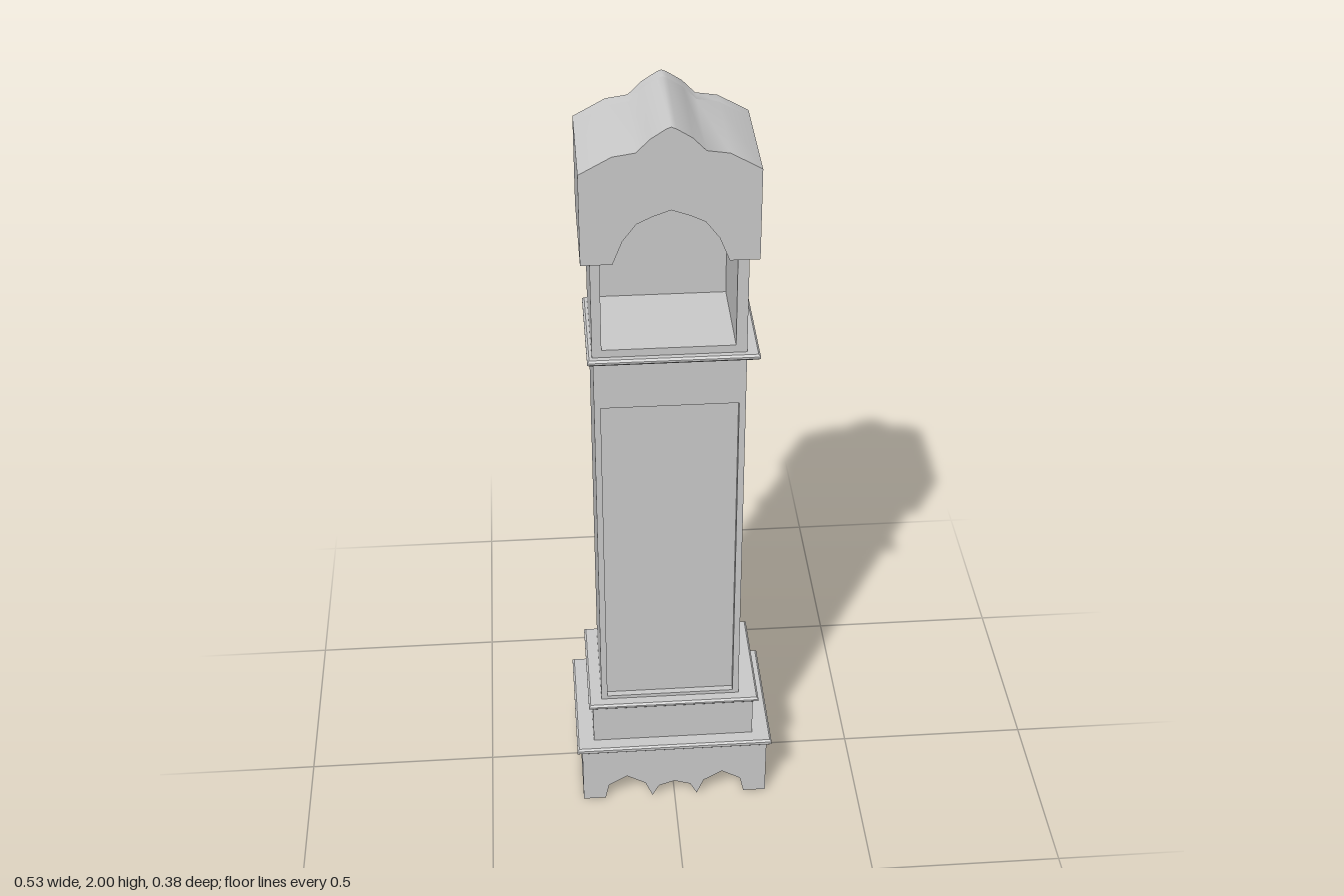
import * as THREE from 'three';
import { toCreasedNormals } from 'three/addons/utils/BufferGeometryUtils.js';

const material = new THREE.MeshStandardMaterial({ color: 0xcccccc });
const toShape = (points) => new THREE.Shape(points.map(([x, y]) => new THREE.Vector2(x, y)));
const rect = (x0, x1, y0, y1) => [[x0, y0], [x1, y0], [x1, y1], [x0, y1]];

export function createModel() {
  const clock = new THREE.Group();
  clock.name = 'longcaseClock';

  const add = (name, geometry) => {
    const mesh = new THREE.Mesh(geometry, material);
    mesh.name = name;
    clock.add(mesh);
  };

  // Front outline pushed from z0 to z1, with an optional hole
  const slab = (name, outline, z0, z1, hole) => {
    const shape = toShape(outline);
    if (hole) shape.holes.push(toShape(hole));
    const geometry = new THREE.ExtrudeGeometry(shape, { depth: z1 - z0, bevelEnabled: false });
    geometry.translate(0, 0, z0);
    add(name, toCreasedNormals(geometry, 0.9));
  };

  // Flat moulding with chamfered edges
  const ledge = (name, x0, x1, y0, y1, halfDepth) => {
    const b = 0.005;
    const shape = toShape(rect(x0 + b, x1 - b, -halfDepth + b, halfDepth - b));
    const geometry = new THREE.ExtrudeGeometry(shape, {
      depth: y1 - y0 - 2 * b, bevelSize: b, bevelThickness: b, bevelSegments: 1,
    });
    geometry.rotateX(-Math.PI / 2).translate(0, y0 + b, 0);
    add(name, toCreasedNormals(geometry, 0.5));
  };

  // Base with three scallops cut through between the feet
  const scallops = [
    [-0.19, 0], [-0.18, 0.047], [-0.13, 0.077], [-0.08, 0.047], [-0.061, 0],
    [-0.043, 0.035], [0, 0.05], [0.043, 0.035],
    [0.061, 0], [0.08, 0.047], [0.13, 0.077], [0.18, 0.047], [0.19, 0],
  ];
  slab('base', [[-0.25, 0], ...scallops, [0.25, 0], [0.25, 0.175], [-0.25, 0.175]], -0.182, 0.182);
  ledge('baseLedge', -0.263, 0.263, 0.17, 0.188, 0.19);

  // Plinth
  slab('plinth', rect(-0.217, 0.213, 0.185, 0.31), -0.152, 0.152);
  ledge('plinthLedge', -0.228, 0.227, 0.305, 0.32, 0.163);

  // Trunk with a recessed door panel
  const recess = 0.118;
  slab('trunk', rect(-0.193, 0.175, 0.315, 1.39), -0.135, recess);
  slab('doorFrame', rect(-0.193, 0.175, 0.315, 1.39), recess, 0.135, rect(-0.177, 0.159, 0.33, 1.255));
  ledge('waistLedge', -0.207, 0.206, 1.385, 1.4, 0.153);

  // Dial case, open at the front and into the hood
  const back = -0.115;
  slab('dialCase', [
    [-0.195, 1.395], [0.175, 1.395], [0.175, 1.66], [0.148, 1.66],
    [0.148, 1.42], [-0.172, 1.42], [-0.172, 1.66], [-0.195, 1.66],
  ], back, 0.135);
  slab('dialCaseBack', rect(-0.195, 0.175, 1.395, 1.66), -0.135, back);

  // Hood with a stepped crest and an arched opening
  const crest = [
    [0.198, 1.66], [0.198, 1.89], [0.124, 1.932], [0.071, 1.94], [0.04, 1.972],
    [0.004, 1.995], [-0.008, 2], [-0.02, 1.995],
    [-0.055, 1.972], [-0.087, 1.94], [-0.14, 1.932], [-0.217, 1.89], [-0.217, 1.66],
  ];
  const arch = [
    [-0.143, 1.66], [-0.119, 1.72], [-0.087, 1.762], [-0.05, 1.78], [-0.008, 1.795],
    [0.034, 1.78], [0.071, 1.762], [0.103, 1.72], [0.127, 1.66],
  ];
  slab('hood', [...crest, ...arch], back, 0.152);
  slab('hoodBack', crest, -0.152, back);

  return clock;
}
